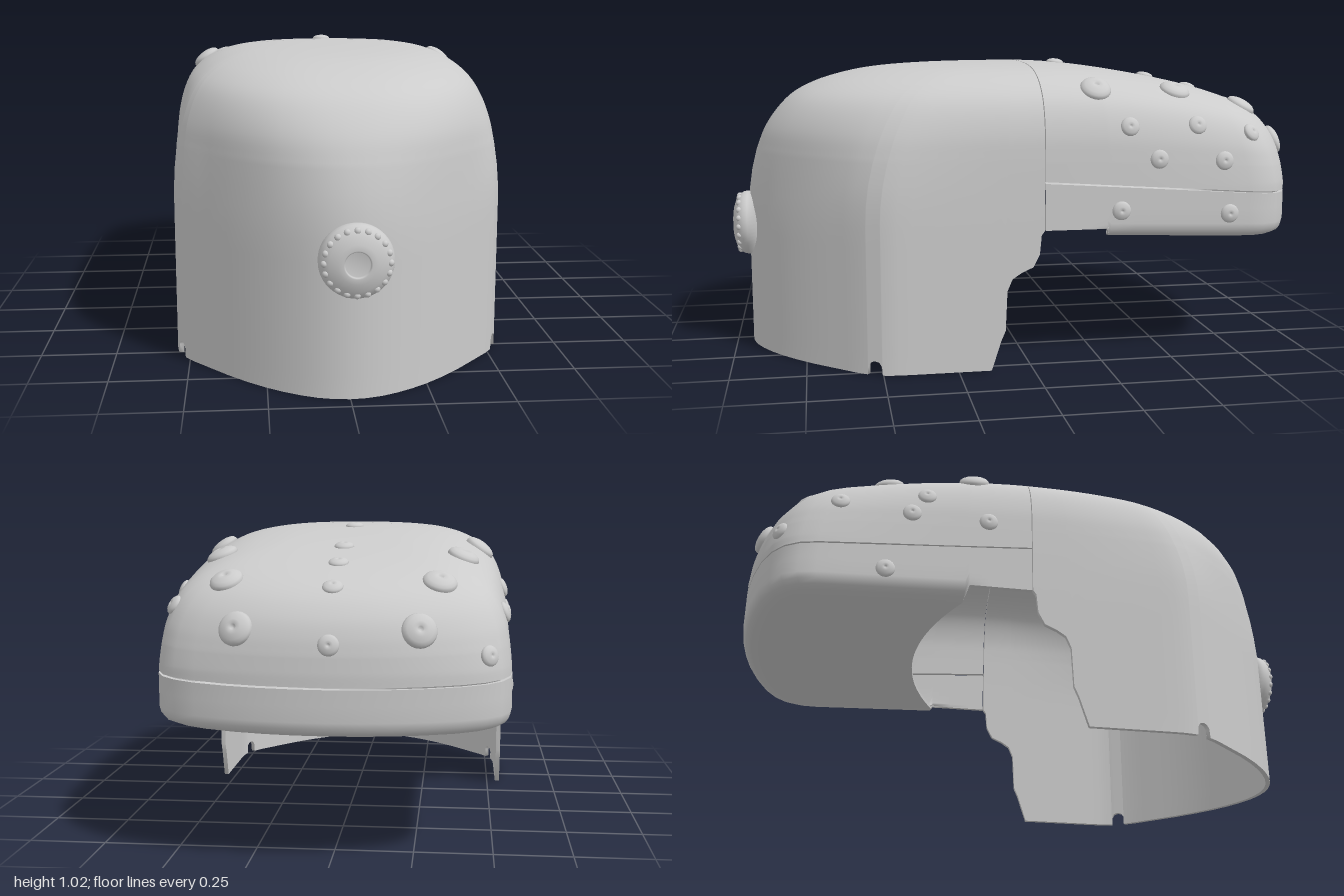
import * as THREE from 'three';
import { mergeGeometries } from 'three/addons/utils/BufferGeometryUtils.js';

const mat = new THREE.MeshStandardMaterial({ color: 0xcccccc, side: THREE.DoubleSide });
const SEAM_Z = -0.04;
const V = (x, y, z) => new THREE.Vector3(x, y, z);

// linear interpolation in a short table of [key, value] pairs
function lerpTable(table, k) {
  if (k <= table[0][0]) return table[0][1];
  for (let i = 1; i < table.length; i++) {
    const [a, va] = table[i - 1], [b, vb] = table[i];
    if (k <= b) return va + (vb - va) * (k - a) / (b - a);
  }
  return table[table.length - 1][1];
}

// smooth surface through columns of points
function gridGeometry(cols) {
  const n = cols[0].length, index = [];
  for (let i = 0; i < cols.length - 1; i++)
    for (let j = 0; j < n - 1; j++) {
      const a = i * n + j, c = a + n;
      index.push(a, a + 1, c, c, a + 1, c + 1);
    }
  const g = new THREE.BufferGeometry().setFromPoints(cols.flat());
  g.setIndex(index);
  g.computeVertexNormals();
  return g;
}

// wall of even thickness: outer face, inner face and rims
function shellGeometry(cols, t) {
  const outer = gridGeometry(cols), nor = outer.attributes.normal, n = cols[0].length;
  const inner = cols.map((c, i) => c.map((p, j) =>
    p.clone().addScaledVector(V().fromBufferAttribute(nor, i * n + j), -t)));
  const rim = (a, b) => gridGeometry([a, b]);
  const row = (g, j) => g.map(c => c[j]);
  const last = cols.length - 1;
  return mergeGeometries([
    outer, gridGeometry([...inner].reverse()),
    rim(row(inner, 0), row(cols, 0)), rim(row(cols, n - 1), row(inner, n - 1)),
    rim(cols[0], inner[0]), rim(inner[last], cols[last]),
  ]);
}

// half outline mirrored to a full one, starting on the given side
const mirrorOutline = (half, side) => [
  ...half.map(([x, z]) => [side * x, z]),
  ...half.slice(0, -1).reverse().map(([x, z]) => [-side * x, z]),
];

// domed cover: the outline shrinks with height along [y, half width, end z],
// and turns into a superellipse towards the crown as far as roundness says
function dome(outline, cut, table, warp, startZ, roundness) {
  const [, baseW, baseZ] = table[0], foot = table.findIndex(r => r[0] >= 0.7);
  const crown = new THREE.CatmullRomCurve3(
    table.slice(foot).map(([y, w, z]) => V(w, y, z))).getPoints(40);
  const ws = table.map(r => [r[0], r[1]]), zs = table.map(r => [r[0], r[2]]);
  return outline.map(([x, z]) => {
    const y0 = cut(z), rows = [];
    for (let k = 0; k < 10; k++) {
      const y = y0 + (table[foot][0] - y0) * k / 10;
      rows.push(V(lerpTable(ws, y), y, lerpTable(zs, y)));
    }
    rows.push(...crown);
    const a = Math.abs(x) / baseW, b = (z - startZ) / (baseZ - startZ);
    const ellipse = (a ** 2.5 + b ** 2.5) ** -0.4;
    return rows.map(r => {
      const blend = roundness * THREE.MathUtils.smoothstep(r.y, 0.55, 0.95);
      const s = 1 + (ellipse - 1) * blend;
      const pz = startZ + (z - startZ) * s * (r.z - SEAM_Z) / (baseZ - SEAM_Z);
      return V(x * s * r.x / baseW, warp(r.y, pz), pz);
    });
  });
}

// half width and height shared by both covers
const ARCH = [[0, 0.548], [0.5, 0.548], [0.6, 0.547], [0.7, 0.545], [0.78, 0.54], [0.85, 0.523],
  [0.9, 0.497], [0.94, 0.455], [0.97, 0.4], [0.99, 0.335], [1.003, 0.25], [1.01, 0.14], [1.013, 0]];
const withEnds = ends => ARCH.map(([y, w], i) => [y, w, ends[i]]);

function frontShell() {
  // lower edge: stepped at the rear, with a small notch on each side
  const edge = [[-0.039, 0.47], [-0.028, 0.455], [-0.022, 0.39], [0, 0.348], [0.04, 0.33],
    [0.07, 0.31], [0.087, 0.27], [0.093, 0.135], [0.108, 0.1], [0.14, 0], [0.503, 0], [0.505, 0.03],
    [0.514, 0.043], [0.527, 0.047], [0.54, 0.043], [0.549, 0.03], [0.551, 0]];
  const width = [[0.42, 0.548], [0.46, 0.547], [0.5, 0.54], [0.56, 0.512]];
  const zs = [...edge.map(e => e[0]), 0.2, 0.3, 0.4, 0.45, 0.48].sort((a, b) => a - b);
  const nose = [[0.49, 0.588], [0.46, 0.622], [0.42, 0.668], [0.37, 0.725], [0.31, 0.785], [0.25, 0.837],
    [0.2, 0.873], [0.15, 0.903], [0.1, 0.926], [0.05, 0.94], [0, 0.945]];
  const half = [...zs.map(z => [lerpTable(width, z), z]), ...nose];
  const table = withEnds([0.945, 0.945, 0.937, 0.912, 0.88, 0.832, 0.78, 0.705, 0.61, 0.51, 0.37, 0.2, SEAM_Z]);
  return shellGeometry(
    dome(mirrorOutline(half, 1), z => lerpTable(edge, z), table, y => y, -0.039, 0.85), 0.016);
}

const REAR_HALF = [
  ...[-0.042, -0.1, -0.18, -0.252, -0.266, -0.35, -0.45, -0.55, -0.65, -0.75].map(z => [0.548, z]),
  [0.54, -0.81], [0.515, -0.86], [0.47, -0.9], [0.4, -0.935], [0.3, -0.965], [0.2, -0.985], [0.1, -0.996], [0, -1]];
const along = z => Math.max(0, (SEAM_Z - z) / 0.96);
const seamY = z => 0.63 - 0.066 * along(z);

function rearCover() {
  const table = withEnds([-1, -1, -1, -0.995, -0.985, -0.968, -0.945, -0.915, -0.87, -0.8, -0.68, -0.4, SEAM_Z]);
  const slope = (y, z) => y < 0.6 ? y : 0.6 + (y - 0.6) * (1 - 0.42 * along(z) ** 1.7);
  return shellGeometry(
    dome(mirrorOutline(REAR_HALF, -1), z => seamY(z) + 0.003, table, slope, -0.042, 0.25), 0.016);
}

// lower band and its floor
const floorY = z => z > -0.26 ? 0.47 : 0.445 - 0.032 * along(z);
const inset = ([x, z], d) => z > -0.26 ? [x, z]
  : [x * (1 - d / 0.548), z + d * Math.max(0, (-0.266 - z) / 0.734)];

function rearBand() {
  const rows = [[0.07, 0], [0.035, 0.004], [0.014, 0.015], [0.004, 0.03], [0, 0.05]];
  const cols = mirrorOutline(REAR_HALF, -1).map(p => {
    const y = floorY(p[1]), top = seamY(p[1]) - 0.003;
    const col = rows.map(([d, dy]) => {
      const [x, z] = inset(p, d);
      return V(x, y + dy, z);
    });
    return [...col, V(p[0], (y + 0.05 + top) / 2, p[1]), V(p[0], top, p[1])];
  });
  return shellGeometry(cols, 0.014);
}

function rearFloor() {
  const lines = REAR_HALF.filter(p => p[1] < -0.26);
  const cols = [];
  for (let i = 0; i <= 24; i++) {
    const f = i / 12 - 1;
    cols.push(lines.map(p => {
      const [x, z] = inset(p, 0.07);
      const arc = 0.12 * (1 - f * f) * Math.max(0, (z + 0.8) / 0.54); // arched front edge
      return V(x * f, floorY(p[1]), z - arc);
    }));
  }
  return shellGeometry(cols, 0.014);
}

const lathe = (pts, seg) => new THREE.LatheGeometry(pts.map(p => new THREE.Vector2(...p)), seg);

export function createModel() {
  const model = new THREE.Group();
  const add = (name, geo, parent = model) => {
    const m = new THREE.Mesh(geo, mat);
    m.name = name;
    parent.add(m);
    return m;
  };
  add('frontShell', frontShell());
  const cover = add('rearCover', rearCover());
  const band = add('rearBand', rearBand());
  add('rearFloor', rearFloor());

  // round knob on the nose, with a ring of beads
  const knob = new THREE.Group();
  knob.name = 'noseKnob';
  knob.position.set(0.015, 0.435, 0.9);
  add('knobBody', lathe([[0, 0.012], [0.113, 0.012], [0.115, 0.048], [0.112, 0.062], [0.103, 0.077],
    [0.085, 0.089], [0.06, 0.097], [0.043, 0.1], [0.039, 0.097], [0.037, 0.09], [0, 0.09]], 48), knob)
    .rotation.x = Math.PI / 2;
  const bead = new THREE.SphereGeometry(0.011, 12, 8);
  for (let i = 0; i < 20; i++) {
    const a = i / 20 * Math.PI * 2;
    add('knobBead', bead, knob).position.set(0.098 * Math.cos(a), 0.098 * Math.sin(a), 0.076);
  }
  model.add(knob);

  // domed studs dropped onto the rear surfaces
  const studGeo = lathe([[0, -0.4], [1, -0.4], [1, 0.02], [0.93, 0.17], [0.75, 0.3], [0.45, 0.4],
    [0.2, 0.43], [0.15, 0.31], [0, 0.29]], 24);
  const ray = new THREE.Raycaster();
  const stud = (from, dir, r) => {
    ray.set(from, dir);
    const hit = ray.intersectObjects([cover, band], false)[0];
    const n = hit.face.normal.clone();
    if (n.dot(dir) > 0) n.negate();
    const s = add(r > 0.04 ? 'largeStud' : 'smallStud', studGeo);
    s.position.copy(hit.point);
    s.quaternion.setFromUnitVectors(V(0, 1, 0), n);
    s.scale.setScalar(r);
  };
  const down = V(0, -1, 0), forward = V(0, 0, 1);
  for (const z of [-0.19, -0.54, -0.71, -0.87]) stud(V(-0.01, 2, z), down, 0.032);
  stud(V(-0.01, 0.69, -2), forward, 0.032);
  for (const s of [1, -1]) {
    for (const [x, z] of [[0.325, -0.795], [0.395, -0.525], [0.452, -0.23]]) stud(V(s * x, 2, z), down, 0.053);
    stud(V(s * 0.27, 0.73, -2), forward, 0.053);
  }
  // the small studs differ from side to side
  const leftStuds = [[-0.33, 0.81], [-0.57, 0.81], [-0.43, 0.7], [-0.66, 0.69], [-0.77, 0.78],
    [-0.3, 0.53], [-0.68, 0.51]];
  const rightStuds = [[-0.19, 0.72], [-0.4, 0.81], [-0.45, 0.73], [-0.69, 0.76], [-0.53, 0.505], [-0.88, 0.65]];
  for (const [z, y] of leftStuds) stud(V(2, y, z), V(-1, 0, 0), 0.032);
  for (const [z, y] of rightStuds) stud(V(-2, y, z), V(1, 0, 0), 0.032);
  return model;
}
